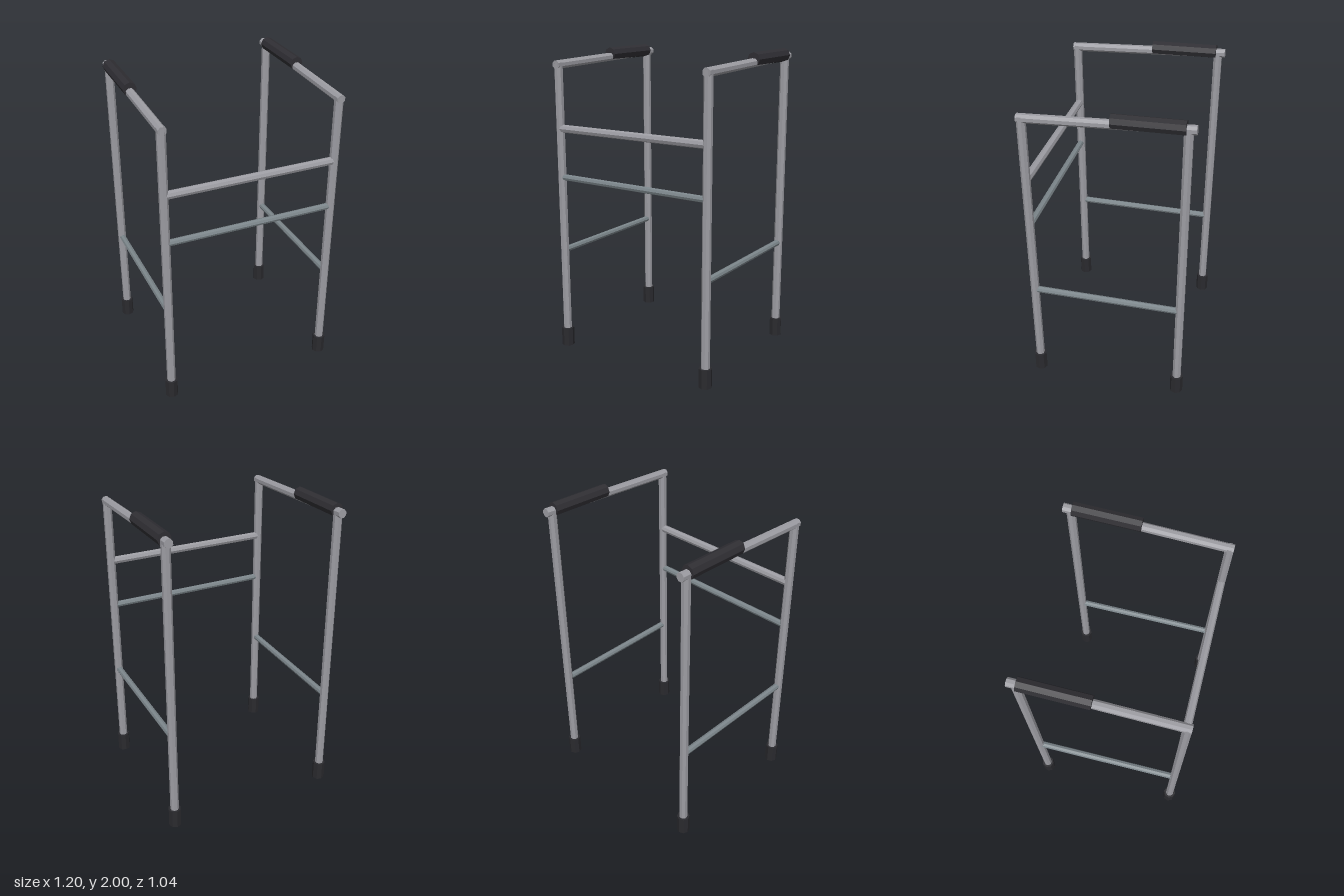
import * as THREE from 'three';

export function createModel() {
  const model = new THREE.Group();
  const material = (name, color) => {
    const m = new THREE.MeshStandardMaterial({ color, flatShading: true });
    m.name = name;
    return m;
  };
  const aluminium = material('aluminium', 0x9c9ca2);
  const brace = material('brace metal', 0x7b858a);
  const rubber = material('rubber', 0x2a2a2e);
  const foam = material('grip foam', 0x2f2e33);

  // Eight-sided rod between two points, optionally turned about its axis
  const up = new THREE.Vector3(0, 1, 0);
  function rod(name, a, b, radius, mat, turn = 0) {
    const start = new THREE.Vector3(...a);
    const end = new THREE.Vector3(...b);
    const dir = end.clone().sub(start);
    const geometry = new THREE.CylinderGeometry(radius, radius, dir.length(), 8);
    geometry.rotateY(turn);
    const mesh = new THREE.Mesh(geometry, mat);
    mesh.name = name;
    mesh.position.copy(start).add(end).multiplyScalar(0.5);
    mesh.quaternion.setFromUnitVectors(up, dir.normalize());
    model.add(mesh);
  }

  const X = 0.555, FRONT = 0.478, REAR = -0.472, FLAT = Math.PI / 8;

  for (const [side, x] of [['left', X], ['right', -X]]) {
    // Legs with rubber feet
    for (const [end, z, top] of [['Front', FRONT, 1.92], ['Rear', REAR, 1.955]]) {
      rod(`${side}${end}Leg`, [x, 0.02, z], [x, top, z], 0.028, aluminium, FLAT);
      rod(`${side}${end}Foot`, [x, 0, z], [x, 0.125, z], 0.042, rubber);
    }
    // Sloping hand rail, its grip and the lower side brace
    rod(`${side}HandRail`, [x, 1.905, 0.503], [x, 1.951, -0.518], 0.028, aluminium, FLAT);
    rod(`${side}Grip`, [x, 1.949, -0.043], [x, 1.958, -0.461], 0.043, foam);
    rod(`${side}SideBrace`, [x, 0.683, FRONT], [x, 0.683, REAR], 0.021, brace);
  }

  // Cross bars joining the front legs
  rod('upperCrossBar', [-X, 1.5, FRONT], [X, 1.5, FRONT], 0.026, aluminium);
  rod('lowerCrossBar', [-X, 1.18, FRONT], [X, 1.18, FRONT], 0.021, brace);

  return model;
}
